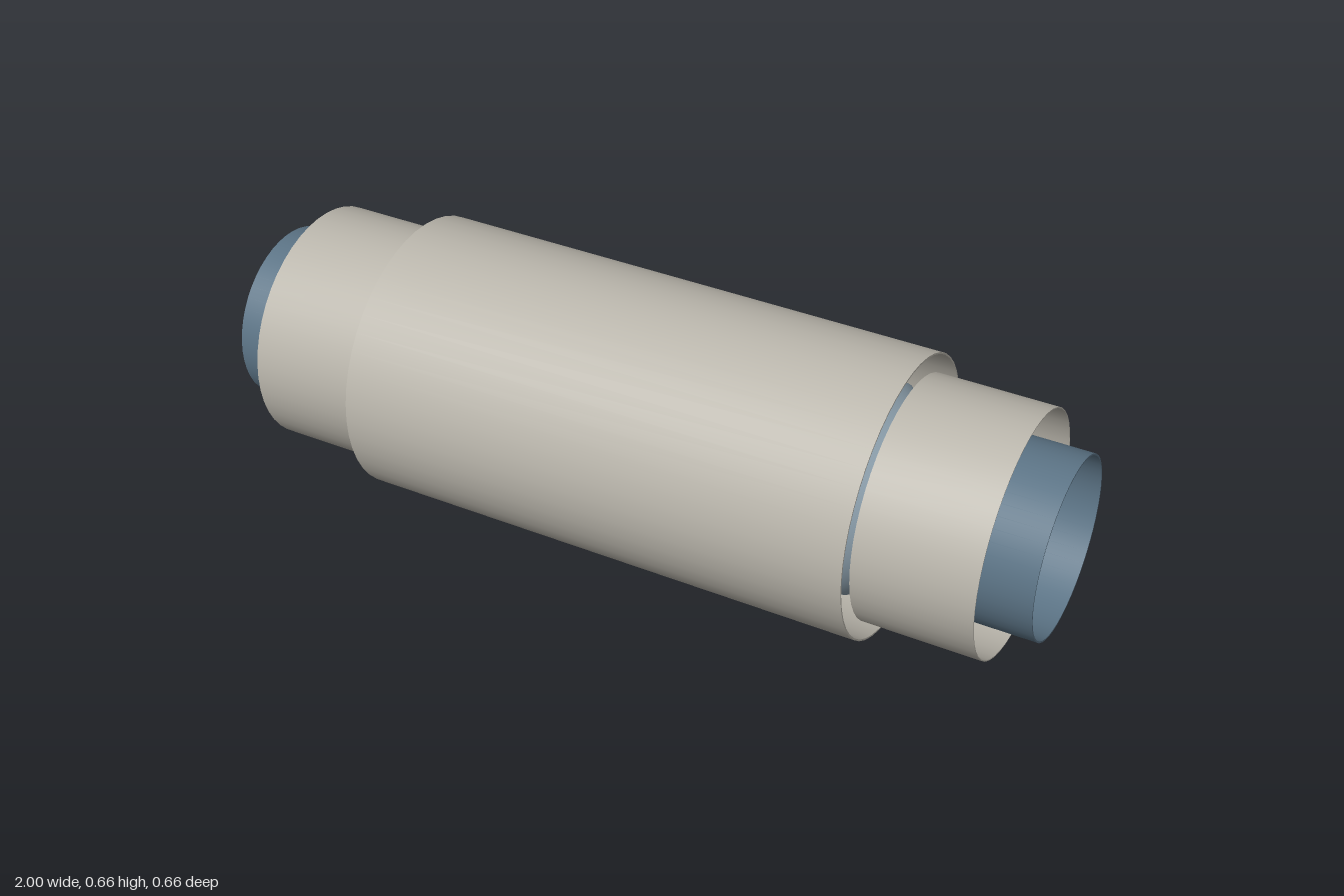
import * as THREE from 'three';
import { toCreasedNormals } from 'three/addons/utils/BufferGeometryUtils.js';

const SIDES = 48;
const AXIS_Y = 0.33;

// Revolve a profile of [radius, x] points around the x axis
function revolve(points, crease) {
  const geo = new THREE.LatheGeometry(points.map(([r, x]) => new THREE.Vector2(r, x)), SIDES);
  geo.rotateZ(-Math.PI / 2);
  return toCreasedNormals(geo, crease);
}

// Thin-walled pipe with closed rims
function pipe(outer, inner, x0, x1) {
  return revolve([[outer, x0], [outer, x1], [inner, x1], [inner, x0], [outer, x0]], 0.5);
}

export function createModel() {
  const model = new THREE.Group();
  model.name = 'expansionJoint';
  const shellMat = new THREE.MeshStandardMaterial({ color: 0xbab6ac });
  const pipeMat = new THREE.MeshStandardMaterial({ color: 0x5c7486 });
  const bellowsMat = new THREE.MeshStandardMaterial({ color: 0x8c9fac, side: THREE.DoubleSide });

  const add = (name, geo, mat) => {
    const mesh = new THREE.Mesh(geo, mat);
    mesh.name = name;
    mesh.position.y = AXIS_Y;
    model.add(mesh);
  };

  // Inner pipe running the full length
  add('innerPipe', pipe(0.211, 0.207, -1, 1), pipeMat);

  // Large middle casing, open at both ends
  add('outerCasing', pipe(0.33, 0.326, -0.62, 0.62), shellMat);

  // Smaller sleeves past each end of the casing
  add('leftSleeve', pipe(0.285, 0.2825, 0.62, 0.9), shellMat);
  add('rightSleeve', pipe(0.285, 0.2825, -0.9, -0.62), shellMat);

  // Pleated bellows around the pipe, inside the casing
  const pleats = 14, half = 0.6;
  const zigzag = [];
  for (let i = 0; i <= pleats * 2; i++) {
    zigzag.push([i % 2 ? 0.244 : 0.2115, -half + (half * i) / pleats]);
  }
  add('bellows', revolve(zigzag, 0.5), bellowsMat);

  return model;
}
